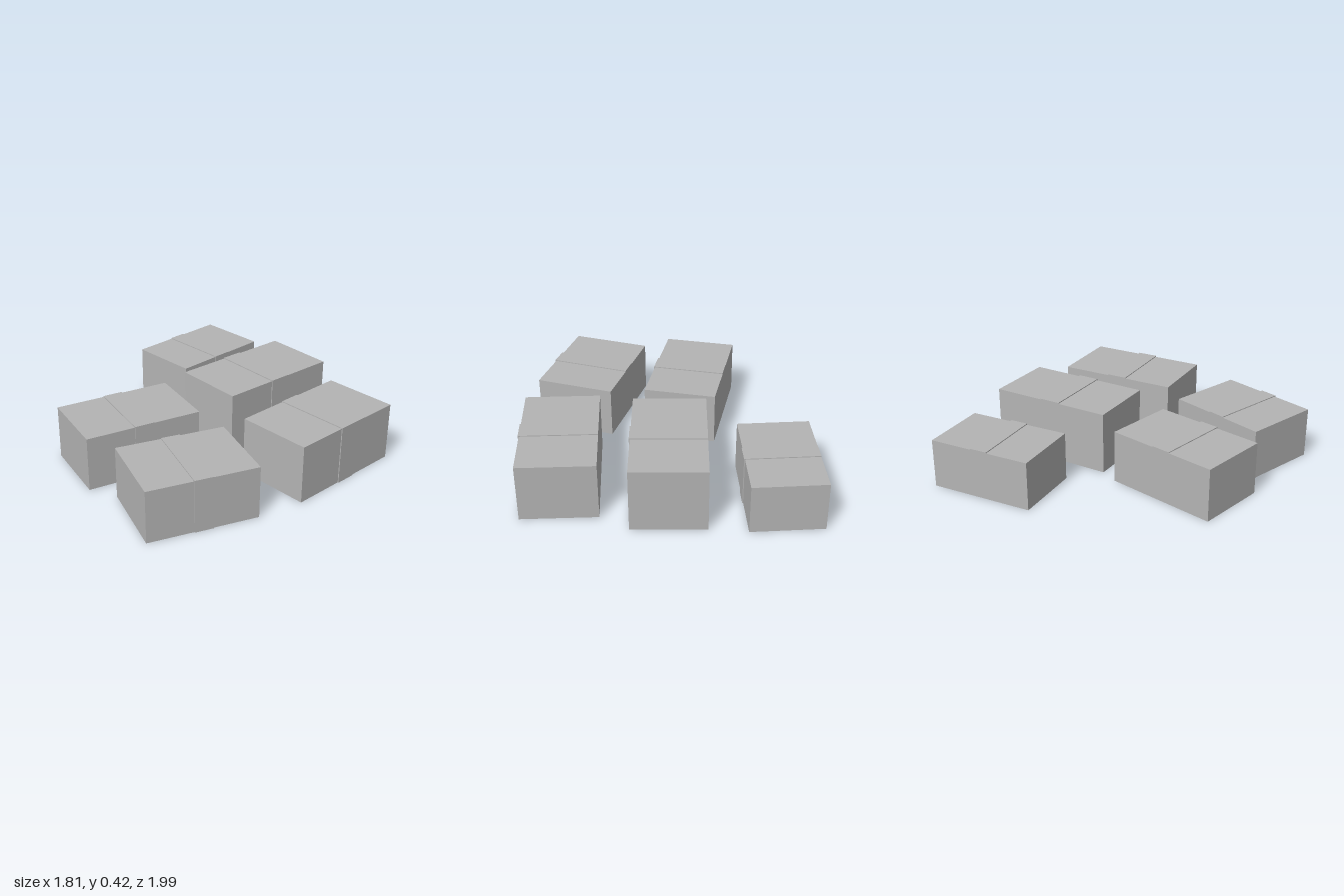
import * as THREE from 'three';

const cardboard = new THREE.MeshStandardMaterial({ color: 0xb4b4b4 });
cardboard.name = 'plain grey';

const TAPE = 0.006; // tape thickness

function block(name, w, h, d, x, y, z) {
  const mesh = new THREE.Mesh(new THREE.BoxGeometry(w, h, d), cardboard);
  mesh.name = name;
  mesh.position.set(x, y, z);
  return mesh;
}

// A closed carton with tape along its top and down its front
function carton({ name, x, z, w, h, d, turn }) {
  const box = new THREE.Group();
  box.name = name;
  const tapeWidth = w * 0.17;
  box.add(
    block('cartonBody', w, h, d, 0, h / 2, 0),
    block('topTape', tapeWidth, TAPE, d + TAPE, 0, h + TAPE / 2, TAPE / 2),
    block('frontTape', tapeWidth, h, TAPE, 0, h / 2, d / 2 + TAPE / 2),
  );
  box.position.set(x, 0, z);
  box.rotation.y = turn;
  return box;
}

export function createModel() {
  const model = new THREE.Group();
  model.name = 'cartons';
  const cartons = [
    { name: 'backLeftCarton', x: 0.427, z: -0.701, w: 0.693, h: 0.322, d: 0.463, turn: 0.218 },
    { name: 'middleLeftCarton', x: 0.451, z: -0.013, w: 0.831, h: 0.413, d: 0.473, turn: 0.15 },
    { name: 'frontLeftCarton', x: 0.456, z: 0.676, w: 0.811, h: 0.375, d: 0.486, turn: 0.195 },
    { name: 'middleRightCarton', x: -0.517, z: -0.009, w: 0.759, h: 0.35, d: 0.477, turn: -0.052 },
    { name: 'frontRightCarton', x: -0.498, z: 0.677, w: 0.696, h: 0.336, d: 0.523, turn: -0.158 },
  ];
  cartons.forEach((c) => model.add(carton(c)));
  return model;
}
